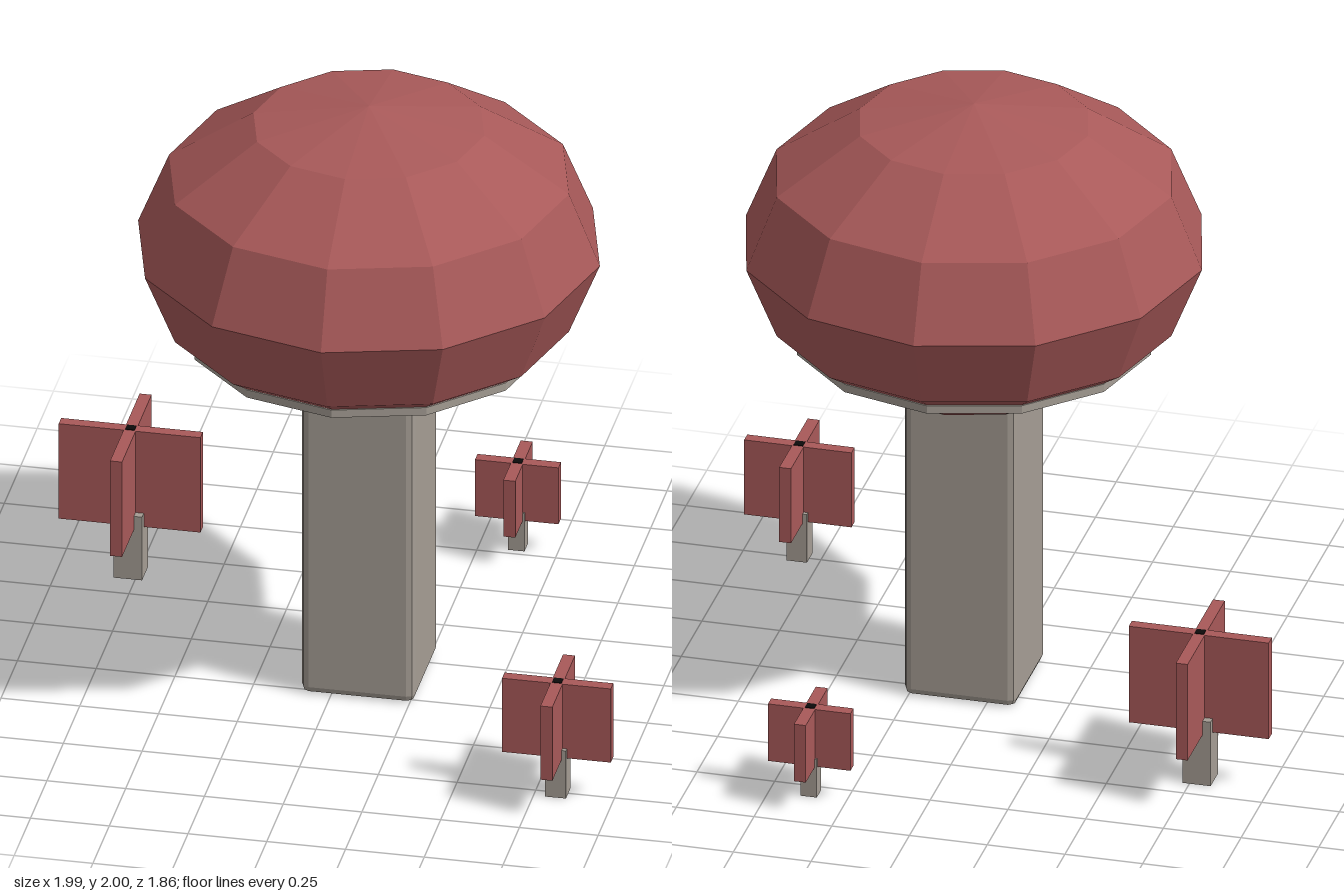
import * as THREE from 'three';
import { RoundedBoxGeometry } from 'three/addons/geometries/RoundedBoxGeometry.js';

function material(name, color) {
  const m = new THREE.MeshStandardMaterial({ color, flatShading: true });
  m.name = name;
  return m;
}

function part(parent, name, geometry, mat, x, y, z) {
  const mesh = new THREE.Mesh(geometry, mat);
  mesh.name = name;
  mesh.position.set(x, y, z);
  parent.add(mesh);
  return mesh;
}

export function createModel() {
  const red = material('dusty red', 0xa85959);
  const stone = material('warm grey', 0xa59d94);
  const dark = material('near black', 0x0c0a0a);
  const model = new THREE.Group();
  model.name = 'giantMushroom';

  // Large mushroom: chamfered stalk, faceted cap and a collar under the rim
  const big = new THREE.Group();
  big.name = 'mainMushroom';
  big.position.set(0.085, 0, 0.1);
  model.add(big);
  part(big, 'stalk', new RoundedBoxGeometry(0.36, 1.2, 0.36, 1, 0.025), stone, 0, 0.6, 0);
  const cap = part(big, 'cap', new THREE.SphereGeometry(1, 12, 6), red, 0, 1.515, 0);
  cap.scale.set(0.733, 0.485, 0.733);
  part(big, 'collar', new THREE.CylinderGeometry(0.57, 0.57, 0.027, 12), stone, 0, 1.213, 0);

  // Small sprouts: square stem, two crossed plates and a dark core
  const sprouts = [
    // x, z, plate width, plate bottom, plate top, stem width, stem height
    [-0.773, -0.389, 0.45, 0.175, 0.51, 0.09, 0.223],
    [0.82, 0.752, 0.345, 0.135, 0.395, 0.066, 0.168],
    [0.371, -0.798, 0.265, 0.104, 0.303, 0.052, 0.133],
  ];
  for (const [x, z, width, bottom, top, stemWidth, stemHeight] of sprouts) {
    const sprout = new THREE.Group();
    sprout.name = 'sprout';
    sprout.position.set(x, 0, z);
    model.add(sprout);
    part(sprout, 'stem', new THREE.BoxGeometry(stemWidth, stemHeight, stemWidth), stone, 0, stemHeight / 2, 0);
    const plate = new THREE.BoxGeometry(width, top - bottom, 0.038);
    const mid = (top + bottom) / 2;
    part(sprout, 'plateAcross', plate, red, 0, mid, 0);
    part(sprout, 'plateAlong', plate, red, 0, mid, 0).rotation.y = Math.PI / 2;
    part(sprout, 'core', new THREE.BoxGeometry(0.03, 0.006, 0.03), dark, 0, top - 0.001, 0);
  }
  return model;
}
